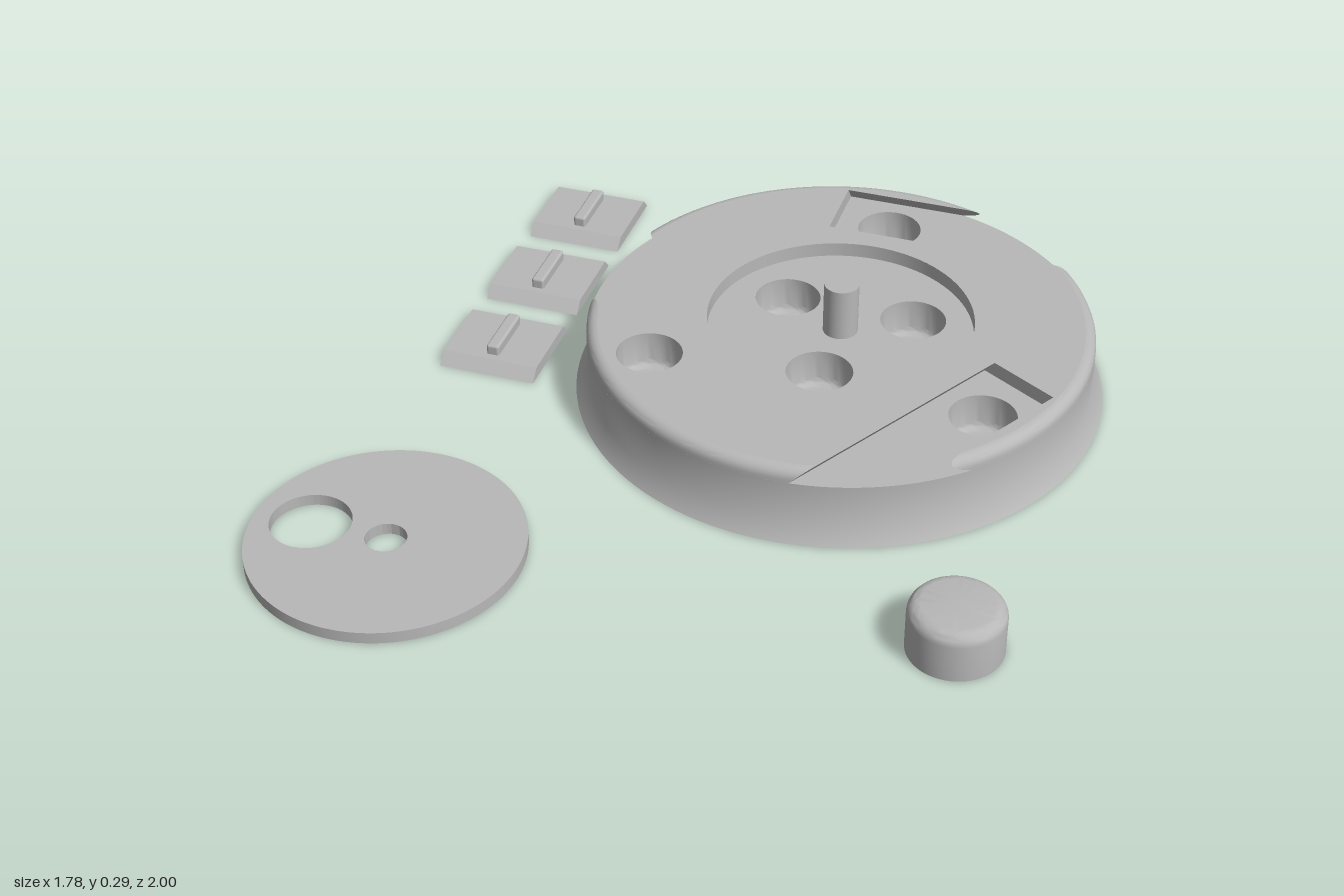
import * as THREE from 'three';
import { toCreasedNormals } from 'three/addons/utils/BufferGeometryUtils.js';
import { RoundedBoxGeometry } from 'three/addons/geometries/RoundedBoxGeometry.js';

const TAU = Math.PI * 2, TILT = 0.045;
const FLOOR = 0.157, TOP = 0.195, WALL_R = 0.637, FILLET = 0.028;
const grey = new THREE.MeshStandardMaterial({ color: 0xb8b8b8 });
grey.name = 'plain grey';

function mesh(name, geometry, parent, x = 0, y = 0, z = 0) {
  const m = new THREE.Mesh(geometry, grey);
  m.name = name;
  m.position.set(x, y, z);
  parent.add(m);
  return m;
}

// Turned part from [radius, height] pairs, with sharp edges kept
function turned(points, sides = 96) {
  const pts = points.map(([r, y]) => new THREE.Vector2(r, y));
  return toCreasedNormals(new THREE.LatheGeometry(pts, sides), 0.6);
}

// Quarter-round points around (cx, cy)
function quarter(cx, cy, r, from, to, n = 6) {
  return Array.from({ length: n + 1 }, (_, i) => {
    const a = from + (to - from) * i / n;
    return [cx + r * Math.cos(a), cy + r * Math.sin(a)];
  });
}

function hole(shape, x, y, r) {
  shape.holes.push(new THREE.Path().absarc(x, y, r, 0, TAU, true));
}

function flat(shape) {
  return new THREE.ShapeGeometry(shape, 96).rotateX(-Math.PI / 2);
}

// Outline of the upper body at height y: a circle cut by three dovetail slots
function outline(y) {
  const t = (y - FLOOR) / (TOP - FLOOR);
  const half = 0.125 - 0.03 * t, a = 0.488 - half, b = 0.488 + half, end = -0.14;
  const h = Math.max(0, y - (TOP - FILLET));
  const R = WALL_R - FILLET + Math.sqrt(Math.max(0, FILLET * FILLET - h * h));
  const inner = Math.asin(a / R), outer = Math.asin(b / R), n = 40, pts = [];
  for (let k = 0; k < 3; k++) {
    const turn = k * TAU / 3, zero = new THREE.Vector2();
    const add = (u, v) => pts.push(new THREE.Vector2(u, v).rotateAround(zero, turn));
    add(R * Math.cos(inner), a);
    add(end, a);
    add(end, b);
    for (let i = 0; i < n; i++) {
      const ang = outer + (inner + TAU / 3 - outer) * i / n;
      add(R * Math.cos(ang), R * Math.sin(ang));
    }
  }
  return pts;
}

// Walls joining the outlines at successive heights
function slottedWalls() {
  const levels = [FLOOR, TOP - FILLET];
  for (let i = 1; i <= 6; i++) levels.push(TOP - FILLET + FILLET * Math.sin(i * Math.PI / 12));
  const pos = [], index = [];
  let count = 0;
  levels.forEach((y, l) => {
    const ring = outline(y);
    count = ring.length;
    ring.forEach((p) => pos.push(p.x, y, -p.y));
    if (l === 0) return;
    for (let j = 0; j < count; j++) {
      const k = (j + 1) % count, lo = (l - 1) * count, hi = l * count;
      index.push(lo + j, lo + k, hi + k, lo + j, hi + k, hi + j);
    }
  });
  const g = new THREE.BufferGeometry();
  g.setAttribute('position', new THREE.Float32BufferAttribute(pos, 3));
  g.setIndex(index);
  return toCreasedNormals(g, 0.5);
}

function buildBase() {
  const base = new THREE.Group();
  base.name = 'base';
  base.position.set(0.217, 0, -0.333);
  base.rotation.y = TILT;

  // Flared foot and lower wall
  mesh('lowerBody', turned([[0, 0], [0.667, 0], [WALL_R, 0.05], [WALL_R, FLOOR]], 128), base);
  mesh('slottedWalls', slottedWalls(), base);

  // Top face with the round central recess
  const top = new THREE.Shape(outline(TOP));
  hole(top, 0, 0, 0.335);
  mesh('topFace', flat(top), base, 0, TOP, 0);
  mesh('recessWall', turned([[0.335, TOP], [0.335, FLOOR]]), base);

  // Shared floor of slots and recess, with six round pockets
  const floor = new THREE.Shape().absarc(0, 0, WALL_R, 0, TAU, false);
  const r = 0.083, f = 0.02, bottom = 0.06;
  const profile = [[r, FLOOR], ...quarter(r - f, bottom + f, f, 0, -Math.PI / 2), [0, bottom]];
  const pocket = turned(profile, 48);
  for (let i = 0; i < 6; i++) {
    const a = Math.PI / 6 + i * Math.PI / 3, d = i % 2 ? 0.488 : 0.19;
    const x = d * Math.cos(a), y = d * Math.sin(a);
    hole(floor, x, y, r);
    mesh('pocket', pocket, base, x, 0, -y);
  }
  mesh('slotFloor', flat(floor), base, 0, FLOOR, 0);

  // Central post
  mesh('post', new THREE.CylinderGeometry(0.044, 0.044, 0.295 - FLOOR, 48), base, 0, (0.295 + FLOOR) / 2, 0);
  return base;
}

// Dovetail slider with a grip rib
function buildSlider(x, z) {
  const slider = new THREE.Group();
  slider.name = 'slider';
  slider.position.set(x, 0, z);
  slider.rotation.y = TILT;
  const s = new THREE.Shape([[-0.125, 0], [0.125, 0], [0.096, 0.03], [-0.096, 0.03]]
    .map(([u, v]) => new THREE.Vector2(u, v)));
  const g = new THREE.ExtrudeGeometry(s, { depth: 0.255, bevelEnabled: false });
  g.translate(0, 0, -0.1275).rotateY(Math.PI / 2);
  mesh('sliderPlate', g, slider);
  mesh('gripRib', new RoundedBoxGeometry(0.034, 0.04, 0.155, 3, 0.007), slider, 0, 0.037, 0);
  return slider;
}

export function createModel() {
  const model = new THREE.Group();
  model.name = 'dispenserParts';
  model.add(buildBase());
  for (let i = 0; i < 3; i++) model.add(buildSlider(-0.668 + 0.015 * i, -0.803 + 0.32 * i));

  // Loose rotating disc with a spindle hole and an opening
  const disc = new THREE.Shape().absarc(0, 0, 0.331, 0, TAU, false);
  hole(disc, 0, 0, 0.05);
  hole(disc, -0.192, -0.008, 0.098);
  const plate = new THREE.ExtrudeGeometry(disc, { depth: 0.03, bevelEnabled: false, curveSegments: 96 });
  mesh('rotatingDisc', toCreasedNormals(plate.rotateX(-Math.PI / 2), 0.5), model, -0.563, 0, 0.667);

  // Loose knob, rounded on top, with a blind hole underneath
  const knob = [[0, 0.085], [0.046, 0.085], [0.046, 0], [0.113, 0],
    ...quarter(0.083, 0.097, 0.03, 0, Math.PI / 2), [0, 0.127]];
  mesh('knob', turned(knob, 64), model, 0.773, 0, 0.532);
  return model;
}
